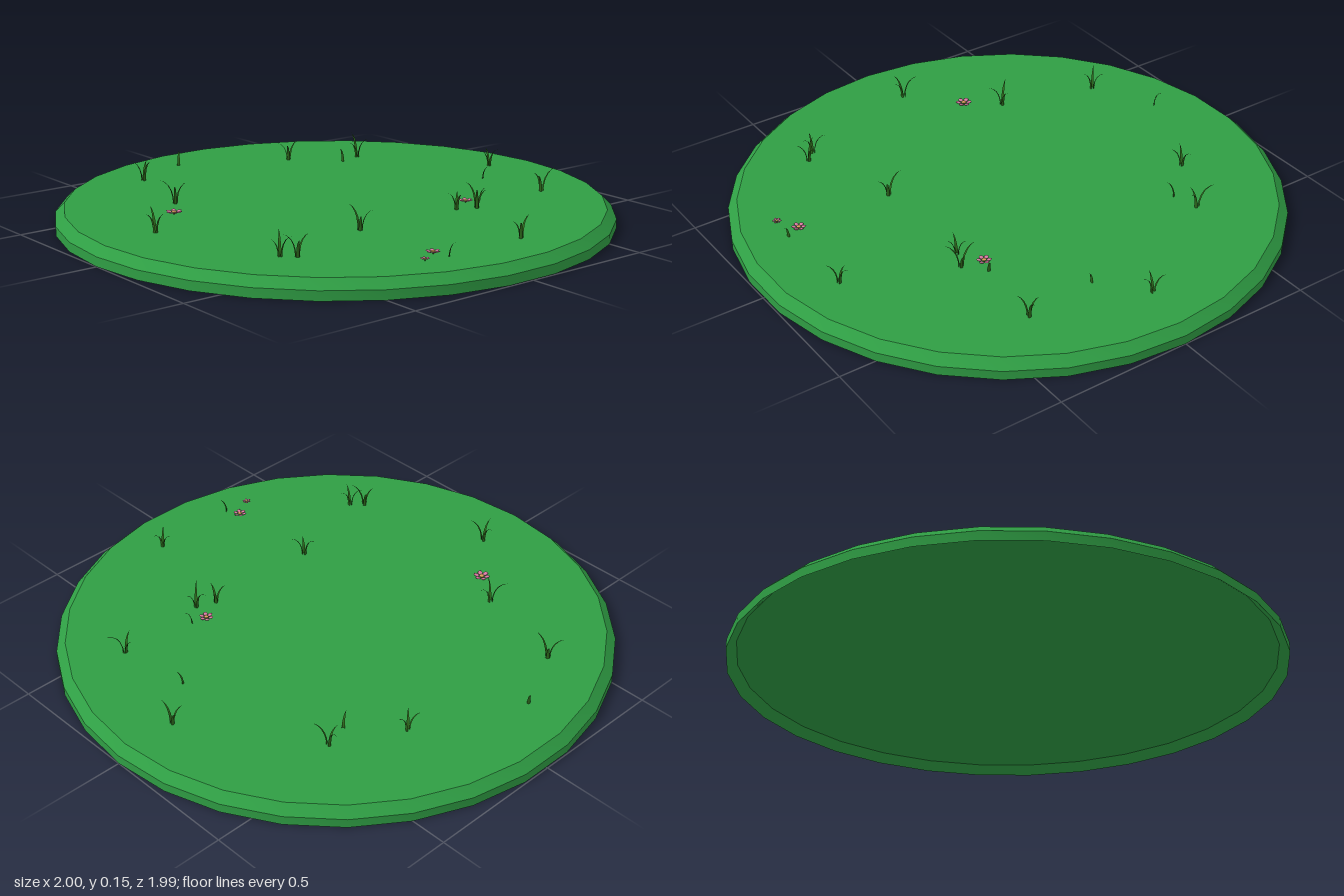
import * as THREE from 'three';
import { toCreasedNormals } from 'three/addons/utils/BufferGeometryUtils.js';

const TOP = 0.066;

const paint = (color, side = THREE.FrontSide) => new THREE.MeshStandardMaterial({ color, side });
const turf = paint(0x2f9e44, THREE.DoubleSide);
const grass = paint(0x2e6b1c, THREE.DoubleSide);
const pink = paint(0xd678a0);
const heart = paint(0xd9a05a);

function add(parent, name, geometry, material) {
  const mesh = new THREE.Mesh(geometry, material);
  mesh.name = name;
  parent.add(mesh);
  return mesh;
}

// Curved tapering blade: starts at (x, z) and bends out to (x + dx, z + dz)
function bladeGeometry(x, z, dx, dz) {
  const reach = Math.hypot(dx, dz);
  const height = Math.min(0.085, 0.02 + 1.05 * reach);
  const sx = -dz / reach, sz = dx / reach;
  const positions = [], index = [], steps = 5;
  for (let i = 0; i <= steps; i++) {
    const t = i / steps;
    const out = 0.1 + 0.9 * t * t;
    const y = TOP - 0.003 + (height + 0.003) * Math.sin(t * Math.PI / 2 * 0.95);
    const w = 0.0058 * (1 - t ** 1.6);
    // the middle of the blade is folded outward a little
    for (const [s, fold] of [[-1, 0], [0, 0.5], [1, 0]]) {
      positions.push(x + dx * out + sx * w * s + dx / reach * w * fold, y,
        z + dz * out + sz * w * s + dz / reach * w * fold);
    }
    if (i === steps) break;
    for (let k = 0; k < 2; k++) {
      const a = i * 3 + k;
      index.push(a, a + 1, a + 3, a + 1, a + 4, a + 3);
    }
  }
  const g = new THREE.BufferGeometry();
  g.setAttribute('position', new THREE.Float32BufferAttribute(positions, 3));
  g.setIndex(index);
  g.computeVertexNormals();
  return g;
}

function tuft(x, z, tips) {
  const group = new THREE.Group();
  group.name = tips.length > 1 ? 'grassTuft' : 'grassBlade';
  for (const [dx, dz] of tips) {
    add(group, 'blade', bladeGeometry(x, z, dx / 100, dz / 100), grass);
  }
  return group;
}

function flower(x, z, r) {
  const group = new THREE.Group();
  group.name = 'flower';
  group.position.set(x, TOP, z);
  add(group, 'stem', new THREE.CylinderGeometry(r * 0.1, r * 0.1, 0.008, 6), grass).position.y = 0.004;
  for (let i = 0; i < 6; i++) {
    const a = i * Math.PI / 3;
    const petal = add(group, 'petal', new THREE.SphereGeometry(r * 0.33, 10, 6), pink);
    petal.scale.set(1.05, 0.22, 0.95);
    petal.position.set(Math.cos(a) * r * 0.66, 0.009, Math.sin(a) * r * 0.66);
    petal.rotation.set(0, -a, 0.25);
  }
  const middle = add(group, 'flowerCentre', new THREE.SphereGeometry(r * 0.32, 10, 6), heart);
  middle.scale.y = 0.4;
  middle.position.y = 0.009;
  return group;
}

export function createModel() {
  const model = new THREE.Group();
  model.name = 'grassPatch';

  // Thirty-sided ground disc with bevelled rim and a hollow underside
  const profile = [[0, 0.031], [0.965, 0.031], [1, 0], [1, 0.034], [0.967, TOP], [0, TOP]]
    .map(([r, y]) => new THREE.Vector2(r, y));
  const disc = new THREE.LatheGeometry(profile, 30, Math.PI / 2);
  add(model, 'ground', toCreasedNormals(disc, 0.5), turf);

  // Tufts: root x, z, then the tip offsets in hundredths
  const tufts = [
    [-0.38, -0.67, [[-4, -3.5], [3.5, -3], [0, 6]]],
    [0.25, -0.60, [[-4, -2], [5, 0], [-3, 3]]],
    [0.49, -0.47, [[2, -6], [-4, 0], [2.5, 5]]],
    [-0.48, -0.31, [[-4, -4.5], [5, 0.5], [-3, 4]]],
    [-0.75, -0.03, [[1.5, -5.5], [-5, 1], [1.5, 5]]],
    [0.79, -0.03, [[1.5, -4], [-4, -1], [0, 5]]],
    [-0.20, 0.38, [[-0.5, -6], [4, 3], [-2, 3]]],
    [0.24, 0.38, [[-4, -1], [2.5, -2.5], [-1, 4]]],
    [0.31, 0.41, [[0, -6], [4, 1], [-4, 4]]],
    [0.66, 0.38, [[0, -4], [6, 2], [-4, 2]]],
    [-0.60, 0.46, [[3, -4.5], [-4, -1], [2, 5]]],
    [-0.56, 0.50, [[5, 0], [-3, -4], [-2, 4]]],
    [0.15, 0.79, [[-1, -3], [5, -1], [-3, 3]]],
    // single blades
    [-0.145, -0.785, [[2, -2.5]]],
    [0.40, -0.445, [[-3, 1.5]]],
    [0.63, 0.10, [[1, 2.5]]],
    [0.38, 0.345, [[2.5, 1]]],
    [-0.18, 0.795, [[1.5, 2.5]]],
  ];
  for (const t of tufts) model.add(tuft(...t));

  const flowers = [[-0.567, -0.19, 0.03], [0.33, 0.33, 0.026], [-0.20, 0.745, 0.025], [-0.275, 0.79, 0.016]];
  for (const f of flowers) model.add(flower(...f));

  return model;
}
